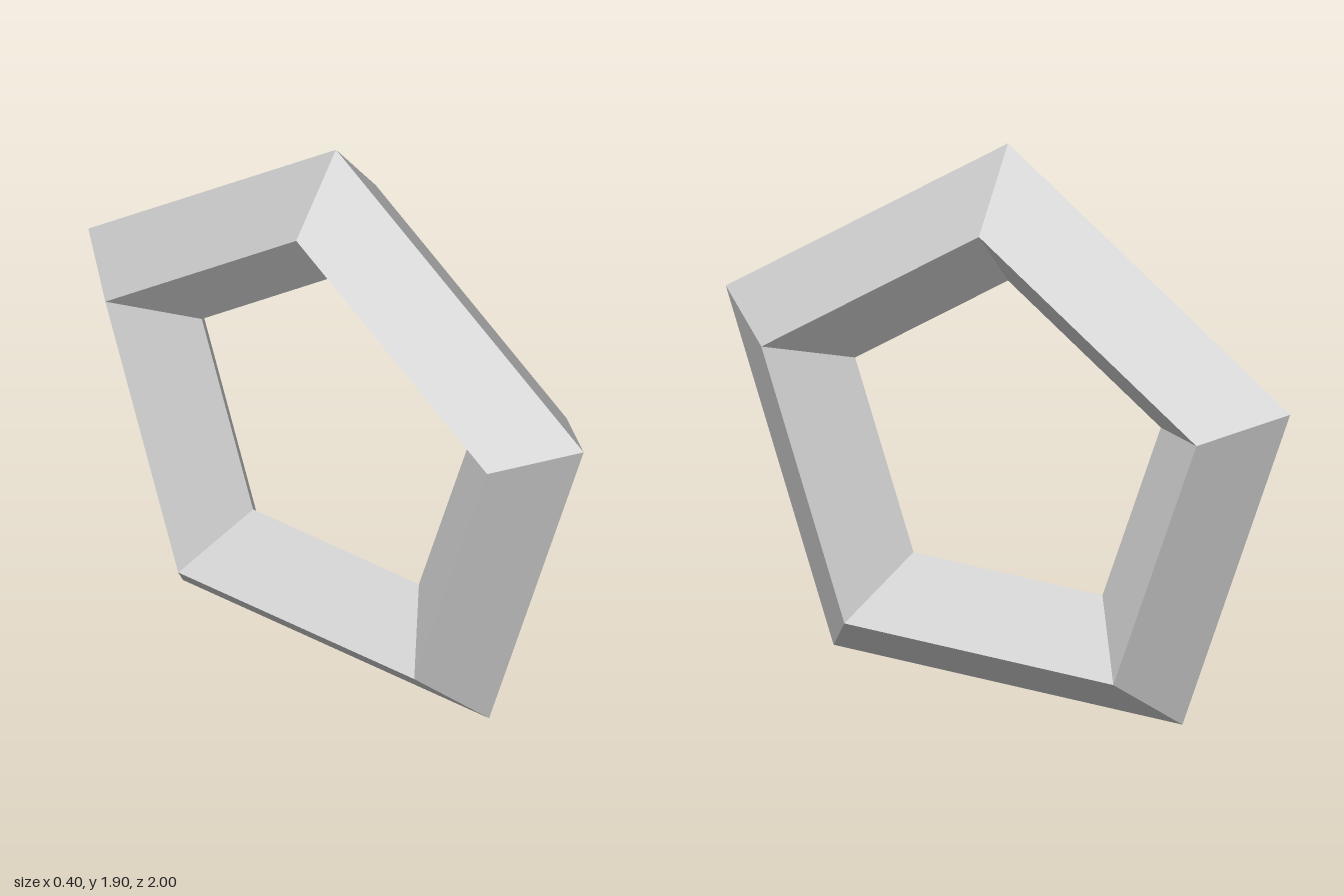
import * as THREE from 'three';

export function createModel() {
  const group = new THREE.Group();
  const outer = 1 / Math.sin(Math.PI * 0.4); // corner radius giving a 2 unit span
  const tube = 0.241;
  const halfWidth = 0.2;

  // Five-sided ring with a diamond cross-section, one corner pointing up
  const geometry = new THREE.TorusGeometry(outer - tube, tube, 4, 5);
  geometry.scale(1, 1, halfWidth / tube);
  geometry.rotateZ(Math.PI / 2);
  geometry.rotateY(Math.PI / 2);
  geometry.translate(0, outer * Math.cos(Math.PI / 5), 0); // lower side rests on the ground

  const ring = new THREE.Mesh(
    geometry,
    new THREE.MeshStandardMaterial({ color: 0xcccccc, flatShading: true })
  );
  ring.name = 'pentagonRing';
  group.add(ring);
  return group;
}
